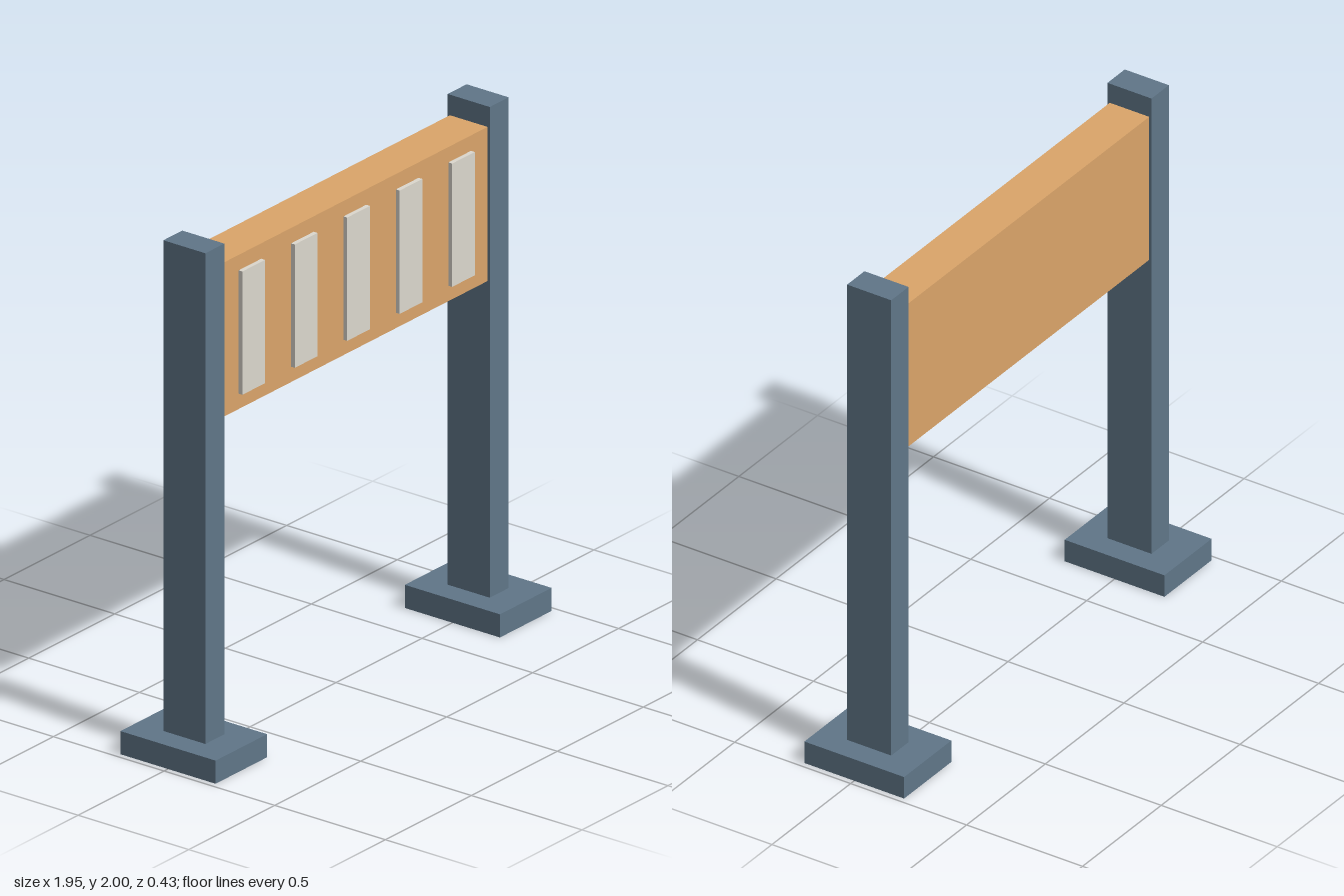
import * as THREE from 'three';

const material = (color) => new THREE.MeshStandardMaterial({ color });

export function createModel() {
  const model = new THREE.Group();
  const slate = material(0x607688);
  const orange = material(0xdba56a);
  const cream = material(0xdcd8ce);

  // Box placed by its centre in x and z and its bottom in y
  const box = (parent, name, mat, [w, h, d], [x, y, z]) => {
    const mesh = new THREE.Mesh(new THREE.BoxGeometry(w, h, d), mat);
    mesh.name = name;
    mesh.position.set(x, y + h / 2, z);
    parent.add(mesh);
  };

  // Posts on flat feet, one at each side
  for (const [side, s] of [['left', 1], ['right', -1]]) {
    const support = new THREE.Group();
    support.name = `${side}Support`;
    box(support, `${side}Foot`, slate, [0.3, 0.09, 0.43], [s * 0.827, 0, 0]);
    box(support, `${side}Post`, slate, [0.11, 1.91, 0.19], [s * 0.827, 0.09, 0]);
    model.add(support);
  }

  // Board spanning the posts
  box(model, 'board', orange, [1.544, 0.6, 0.17], [0, 1.32, 0]);

  // Row of raised panels on the front of the board
  for (let i = -2; i <= 2; i++) {
    box(model, `panel${i + 3}`, cream, [0.132, 0.48, 0.03], [i * 0.305, 1.38, 0.087]);
  }
  return model;
}
